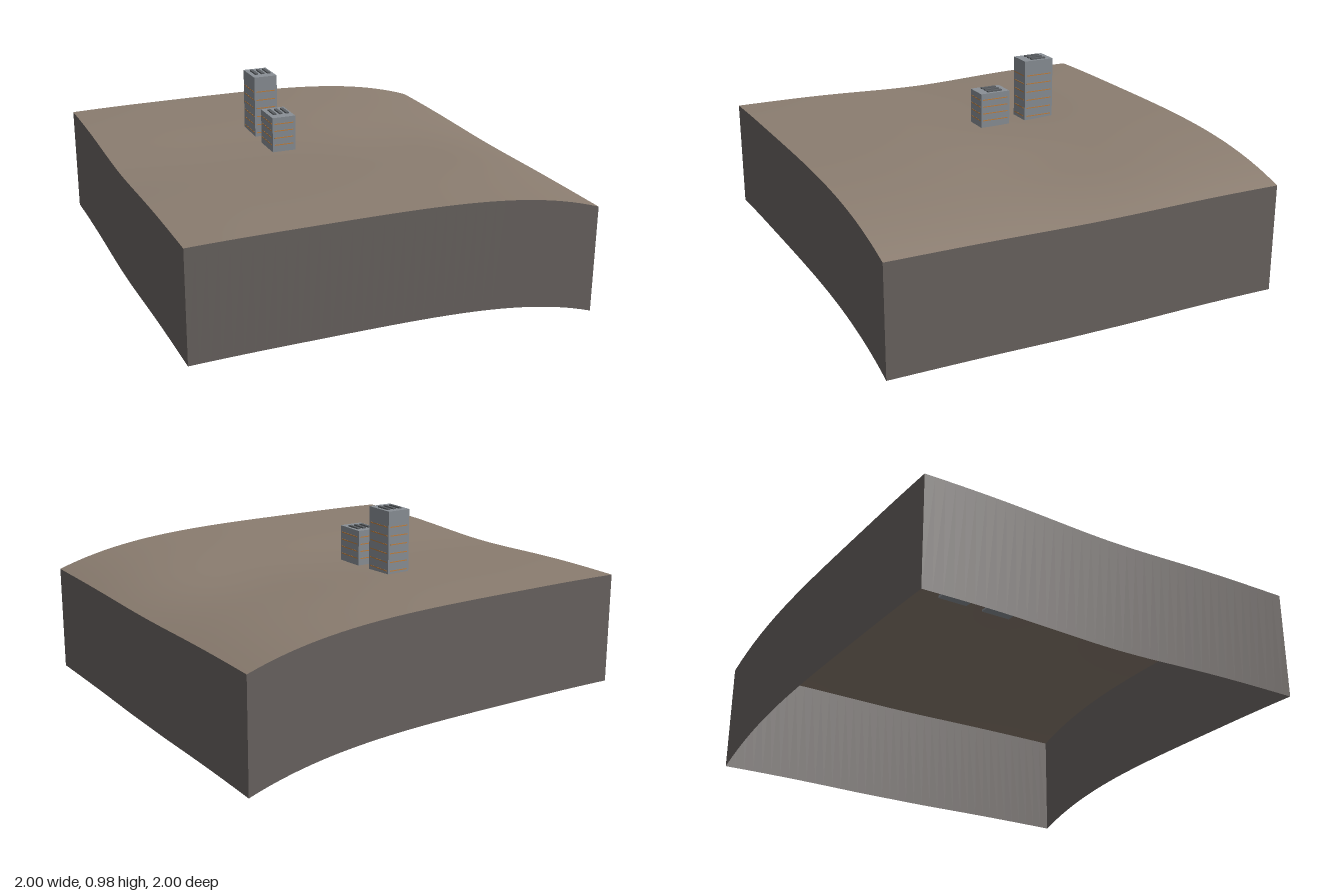
import * as THREE from 'three';
import { mergeGeometries } from 'three/addons/utils/BufferGeometryUtils.js';

const mat = (name, color, side = THREE.FrontSide) => {
  const m = new THREE.MeshStandardMaterial({ color, side });
  m.name = name;
  return m;
};

const SEG = 40, DEPTH = 0.535;

// Ground height: falls away towards +x, with a shallow valley across the middle
function height(x, z) {
  const t = Math.max(0, (x + 0.6) / 1.6);
  const edge = 0.676 - 0.134 * Math.pow(t, 4.2) - 0.03 * Math.min(0, x + 0.6) ** 2;
  const dip = 0.022 + 0.012 * Math.exp(-((x - 0.45) ** 2) / 0.08) - 0.014 * Math.max(0, x) ** 4;
  return edge - dip * Math.exp(-((z + 0.03) ** 2) / 0.2) - 0.004 * Math.max(0, -z) ** 4;
}

function groundGeometry() {
  const g = new THREE.PlaneGeometry(2, 2, SEG, SEG).rotateX(-Math.PI / 2);
  const p = g.attributes.position;
  for (let i = 0; i < p.count; i++) p.setY(i, height(p.getX(i), p.getZ(i)));
  g.computeVertexNormals();
  return g;
}

// One side of the block, its upper and lower edges both following the ground
function wallGeometry(side) {
  const g = new THREE.PlaneGeometry(2, DEPTH, SEG, 1);
  g.translate(0, 0, 1).rotateY(side * Math.PI / 2);
  const p = g.attributes.position;
  for (let i = 0; i < p.count; i++) {
    const top = height(p.getX(i), p.getZ(i));
    p.setY(i, p.getY(i) > 0 ? top : Math.max(0, top - DEPTH));
  }
  return g;
}

export function createModel() {
  const model = new THREE.Group();
  model.name = 'terrainBlock';
  const earth = mat('earth brown', 0x8b7d70, THREE.DoubleSide);
  const rock = mat('rock grey', 0x696360, THREE.DoubleSide);
  const concrete = mat('concrete grey', 0x8a9096);
  const orange = mat('window orange', 0xc08040);
  const dark = mat('roof vent grey', 0x5c6064);

  const add = (parent, name, geometry, material, x = 0, y = 0, z = 0) => {
    const mesh = new THREE.Mesh(geometry, material);
    mesh.name = name;
    mesh.position.set(x, y, z);
    parent.add(mesh);
    return mesh;
  };

  add(model, 'ground', groundGeometry(), earth);
  add(model, 'blockSides', mergeGeometries([0, 1, 2, 3].map(wallGeometry)), rock);

  // Towers with thin window bands on each floor and three vents on the roof
  const W = 0.12, D = 0.16;
  function tower(name, z, base, top, firstRow, step, rows) {
    const group = new THREE.Group();
    group.name = name;
    group.position.set(-0.17, 0, z);
    add(group, 'towerBody', new THREE.BoxGeometry(W, top - base, D), concrete, 0, (top + base) / 2, 0);
    for (let i = 0; i < rows; i++) {
      const y = firstRow - i * step;
      for (const s of [-1, 1]) {
        add(group, 'windowBand', new THREE.BoxGeometry(0.1, 0.005, 0.002), orange, 0, y, s * D / 2);
        add(group, 'windowBand', new THREE.BoxGeometry(0.002, 0.005, 0.14), orange, s * W / 2, y, 0);
      }
    }
    for (const x of [-0.03, 0.003, 0.036])
      add(group, 'roofVent', new THREE.BoxGeometry(0.016, 0.008, 0.08), dark, x, top + 0.003, -0.006);
    model.add(group);
  }
  tower('shortTower', -0.08, 0.645, 0.83, 0.797, 0.036, 4);
  tower('tallTower', -0.33, 0.65, 0.97, 0.893, 0.043, 6);
  return model;
}
